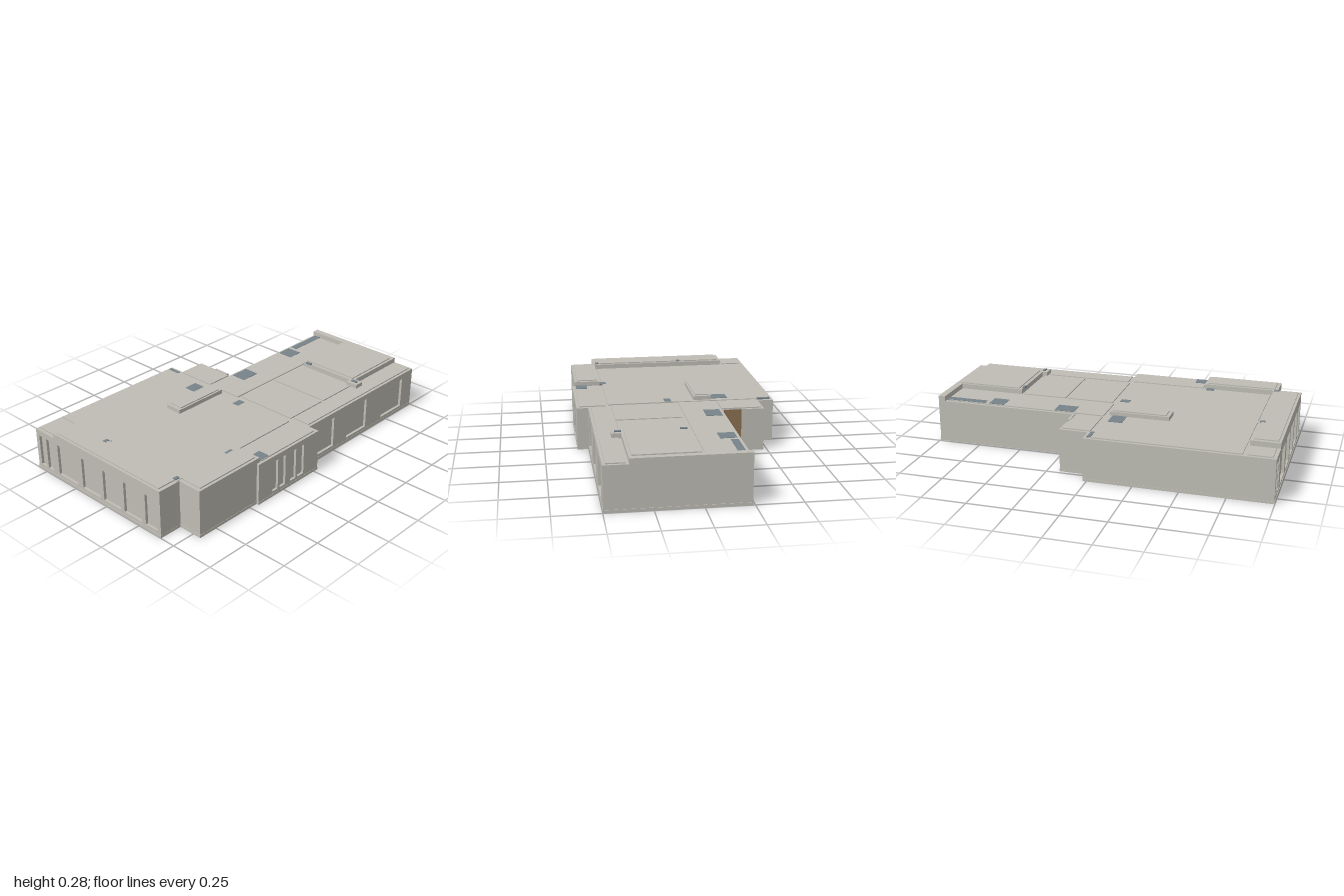
import * as THREE from 'three';

const material = (name, color) => Object.assign(new THREE.MeshStandardMaterial({ color }), { name });

export function createModel() {
  const plaster = material('warm grey plaster', 0xbebcb4);
  const slate = material('slate blue', 0x76828a);
  const wood = material('door brown', 0x8b6f52);
  const model = new THREE.Group();
  model.name = 'singleStoreyBuilding';
  const upper = new THREE.Group();
  upper.name = 'upperBuilding';
  upper.scale.set(0.997, 1, 0.997);
  model.add(upper);

  const add = (name, geometry, mat = plaster, parent = upper) => {
    const mesh = new THREE.Mesh(geometry, mat);
    mesh.name = name;
    parent.add(mesh);
    return mesh;
  };
  const polygon = (pts) => new THREE.Shape(pts.map(([a, b]) => new THREE.Vector2(a, b)));

  // Plan outline raised from y0 to y1
  const slab = (name, plan, y0, y1, parent) => {
    const g = new THREE.ExtrudeGeometry(polygon(plan.map(([x, z]) => [x, -z])), { depth: y1 - y0, bevelEnabled: false });
    g.rotateX(-Math.PI / 2).translate(0, y0, 0);
    return add(name, g, plaster, parent);
  };
  // Box given by its plan bounds and heights
  const block = (name, [x0, x1, z0, z1], y0, y1, mat) => {
    const g = new THREE.BoxGeometry(x1 - x0, y1 - y0, z1 - z0);
    g.translate((x0 + x1) / 2, (y0 + y1) / 2, (z0 + z1) / 2);
    return add(name, g, mat);
  };
  // Thin wall skin with window recesses
  const skin = (name, outline, windows, y0, y1) => {
    const shape = polygon(outline);
    for (const [a, b] of windows) {
      shape.holes.push(new THREE.Path([[a, y0], [a, y1], [b, y1], [b, y0]].map((p) => new THREE.Vector2(...p))));
    }
    return add(name, new THREE.ExtrudeGeometry(shape, { depth: 0.015, bevelEnabled: false }));
  };

  const H = 0.243; // wall height
  const T = 0.272; // raised roof height
  const plan = (west, mid, east) => [
    [west, -0.57], [0.02, -0.57], [0.02, -0.48], [0.18, -0.48], [0.18, -0.24], [1, -0.24],
    [1, east], [0.03, east], [0.03, mid], [-0.45, mid], [-0.45, 0.55], [-0.865, 0.55], [-0.865, 0.41], [west, 0.41],
  ];

  // Floor slab and wall core
  slab('floorSlab', plan(-1, 0.565, 0.5), 0, 0.015, model);
  slab('wallCore', plan(-0.985, 0.551, 0.485), 0.012, H);

  // Window walls
  skin('frontLeftWall', [[0.03, 0.012], [1, 0.012], [1, H], [0.03, H]],
    [[0.07, 0.25], [0.37, 0.55], [0.7, 0.9]], 0.03, 0.21).position.z = 0.485;
  skin('frontCentreWall', [[-0.45, 0.012], [0.03, 0.012], [0.03, H], [-0.45, H]],
    [[-0.34, -0.3], [-0.285, -0.24], [-0.2, -0.155], [-0.14, -0.09]], 0.03, 0.21).position.z = 0.55;
  const west = skin('rightSideWall', [[-0.57, 0.012], [0.41, 0.012], [0.41, T], [-0.42, T], [-0.42, H], [-0.57, H]],
    [[-0.545, -0.5], [-0.485, -0.44], [-0.39, -0.23], [-0.19, -0.05], [-0.02, 0.11], [0.14, 0.27], [0.3, 0.385]], 0.03, 0.21);
  west.rotation.y = -Math.PI / 2;
  west.position.x = -0.985;

  // Raised roof blocks, each with a thin cap
  const raised = [
    ['rightRoof', [-0.985, -0.84, -0.42, 0.41], [-0.985, -0.855, -0.4, 0.39]],
    ['frontRoof', [-0.865, -0.43, 0.4, 0.55], [-0.845, -0.45, 0.415, 0.535]],
    ['centreRoof', [-0.36, -0.02, -0.21, -0.11], [-0.34, -0.04, -0.2, -0.12]],
    ['leftRoof', [0.58, 1, 0, 0.37], [0.6, 0.965, 0.01, 0.355]],
  ];
  for (const [name, bounds, cap] of raised) {
    block(name, bounds, 0.235, T);
    block(name + 'Cap', cap, T - 0.002, 0.278);
  }
  block('leftParapet', [0.96, 1, -0.24, 0.01], 0.235, T);
  block('cornerPier', [0.55, 0.605, 0.35, 0.42], 0.235, T);
  for (const z of [-0.145, 0.39]) block('wallStub', [-0.88, -0.835, z - 0.015, z + 0.015], 0.235, T + 0.003);

  // Low ceiling panels separated by narrow joints
  const panels = [
    [-0.825, -0.005, -0.555, 0.385], [-0.98, -0.85, -0.555, -0.435], [-0.42, 0.01, 0.4, 0.55],
    [0.04, 0.985, 0.385, 0.485], [0.025, 0.295, 0, 0.37], [0.31, 0.565, 0, 0.37],
    [0.01, 0.945, -0.225, -0.015], [0.01, 0.165, -0.465, -0.24],
  ];
  for (const p of panels) block('ceilingPanel', p, 0.24, 0.249);

  // Slate openings on the roof
  const openings = [
    [-0.02, 0, -0.555, -0.48], [-0.12, -0.04, -0.31, -0.21], [0.185, 0.3, -0.22, -0.13],
    [0.605, 0.695, -0.22, -0.13], [0.72, 0.955, -0.22, -0.18], [-0.07, -0.015, 0.02, 0.06],
    [-0.49, -0.445, 0.36, 0.4], [-0.435, -0.355, 0.48, 0.545],
  ];
  for (const o of openings) block('roofOpening', o, 0.242, 0.251, slate);
  for (const z of [0.04, 0.385]) block('roofSlot', [0.57, 0.585, z - 0.018, z + 0.018], 0.27, 0.279, slate);
  for (const z of [-0.145, 0.385]) block('roofSlot', [-0.877, -0.847, z - 0.01, z + 0.01], 0.271, 0.28, slate);

  // Side door in the rear corner
  block('sideDoor', [0.176, 0.183, -0.35, -0.25], 0.015, H, wood);
  block('doorHead', [0.163, 0.178, -0.35, -0.25], 0.24, 0.253);

  return model;
}
